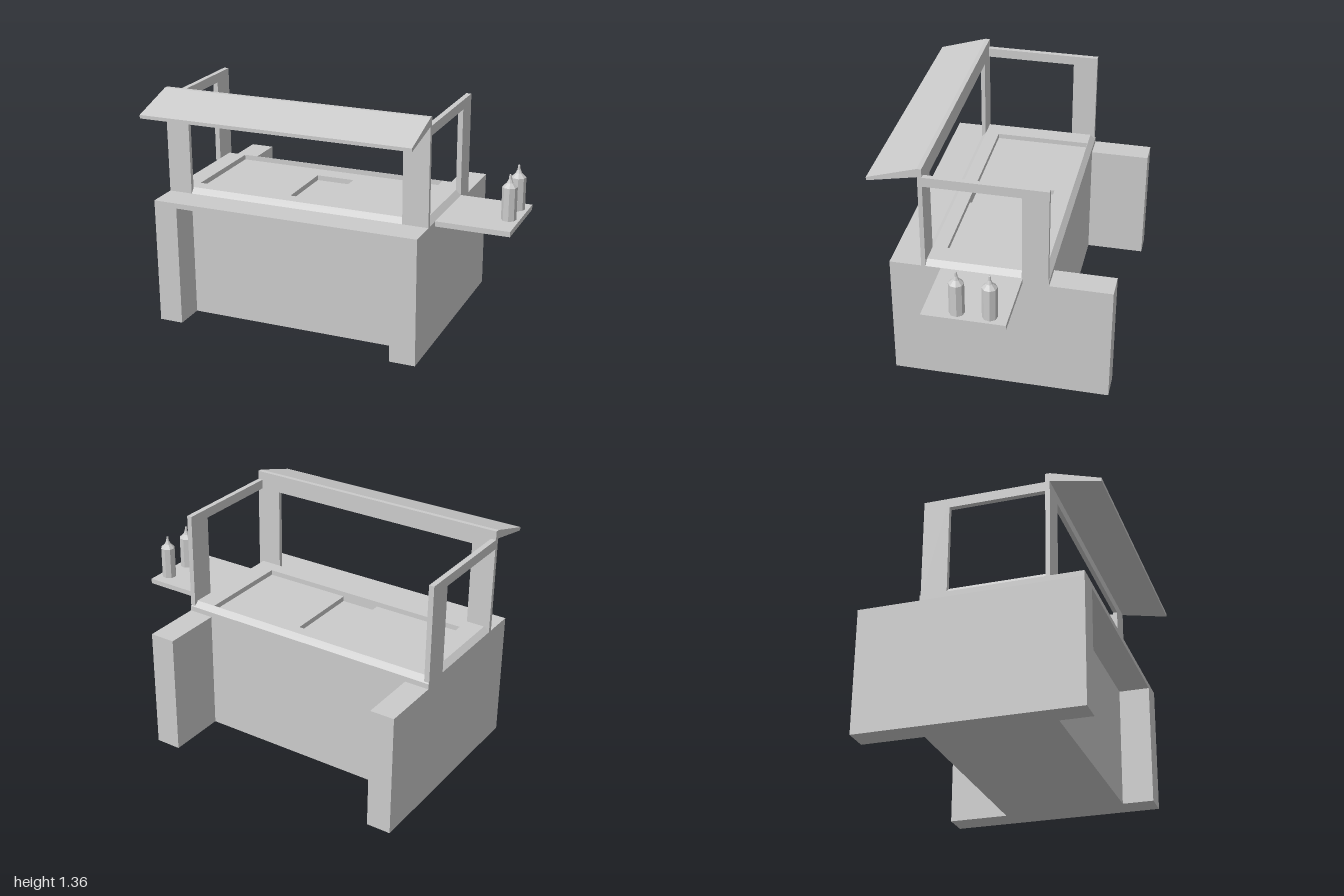
import * as THREE from 'three';

const material = new THREE.MeshStandardMaterial({ color: 0xcccccc, flatShading: true });

function addMesh(parent, name, geometry) {
  const mesh = new THREE.Mesh(geometry, material);
  mesh.name = name;
  parent.add(mesh);
  return mesh;
}

// Box given by its limits on each axis
function addBox(parent, name, [x0, x1], [y0, y1], [z0, z1]) {
  const mesh = addMesh(parent, name, new THREE.BoxGeometry(x1 - x0, y1 - y0, z1 - z0));
  mesh.position.set((x0 + x1) / 2, (y0 + y1) / 2, (z0 + z1) / 2);
  return mesh;
}

// Skin over a sequence of rectangular loops [x0, x1, z0, z1, y]
function rectLoft(loops) {
  const positions = [];
  const corners = ([x0, x1, z0, z1, y]) => [[x0, y, z0], [x1, y, z0], [x1, y, z1], [x0, y, z1]];
  for (let i = 0; i < loops.length - 1; i++) {
    const a = corners(loops[i]);
    const b = corners(loops[i + 1]);
    for (let k = 0; k < 4; k++) {
      const n = (k + 1) % 4;
      positions.push(...a[k], ...b[k], ...a[n], ...a[n], ...b[k], ...b[n]);
    }
  }
  const geometry = new THREE.BufferGeometry();
  geometry.setAttribute('position', new THREE.Float32BufferAttribute(positions, 3));
  geometry.computeVertexNormals();
  return geometry;
}

function rectPath(path, x0, x1, z0, z1) {
  path.moveTo(x0, z0).lineTo(x1, z0).lineTo(x1, z1).lineTo(x0, z1).closePath();
  return path;
}

export function createModel() {
  const group = new THREE.Group();
  group.name = 'foodStand';
  const L = -1, R = 0.58, innerL = -0.86, innerR = 0.43;

  // Base: core with side walls running past it front and back
  addBox(group, 'baseCore', [innerL, innerR], [0, 0.71], [-0.32, 0.39]);
  for (const [name, x] of [['rightWall', [L, innerL]], ['leftWall', [innerR, R]]]) {
    addBox(group, name, x, [0, 0.71], [-0.67, 0.57]);
  }

  // Counter slab with the narrow tray slot cut through it
  const slab = rectPath(new THREE.Shape(), L, R, -0.32, 0.57);
  slab.holes.push(rectPath(new THREE.Path(), -0.32, -0.09, -0.18, 0.28));
  const slabGeometry = new THREE.ExtrudeGeometry(slab, { depth: 0.03, bevelEnabled: false });
  slabGeometry.rotateX(Math.PI / 2);
  addMesh(group, 'counterSlab', slabGeometry).position.y = 0.74;

  // Raised worktop with chamfered edge and shallow well
  addMesh(group, 'worktopRim', rectLoft([
    [L, R, -0.32, 0.39, 0.74],
    [-0.97, 0.55, -0.29, 0.36, 0.77],
    [innerL, innerR, -0.288, 0.28, 0.77],
    [innerL, innerR, -0.288, 0.28, 0.74],
  ]));

  // Canopy frame: wide front posts, thin rear posts and side rails
  for (const [side, front, thin] of [
    ['right', [L, innerL], [L, -0.97]],
    ['left', [innerR, R], [0.55, R]],
  ]) {
    addBox(group, side + 'FrontPost', front, [0.74, 1.25], [0.365, 0.39]);
    addBox(group, side + 'RearPost', thin, [0.71, 1.305], [-0.315, -0.17]);
    addBox(group, side + 'Rail', thin, [1.25, 1.305], [-0.17, 0.365]);
  }
  addBox(group, 'header', [L, R], [1.25, 1.355], [0.365, 0.39]);

  // Sloping awning, profile drawn in z and y then swept along x
  const profile = new THREE.Shape([
    new THREE.Vector2(-0.39, 1.305),
    new THREE.Vector2(-0.39, 1.355),
    new THREE.Vector2(-0.67, 1.27),
    new THREE.Vector2(-0.67, 1.25),
  ]);
  const awning = new THREE.ExtrudeGeometry(profile, { depth: R - L, bevelEnabled: false });
  awning.rotateY(Math.PI / 2);
  addMesh(group, 'awning', awning).position.x = L;

  // Side shelf with two sauce bottles
  addBox(group, 'sideShelf', [R, 1], [0.71, 0.74], [-0.175, 0.28]);
  const bottleProfile = [
    [0, 0], [0.042, 0], [0.042, 0.188], [0.018, 0.212], [0.009, 0.232], [0.006, 0.257], [0, 0.26],
  ].map(([r, y]) => new THREE.Vector2(r, y));
  const bottleGeometry = new THREE.LatheGeometry(bottleProfile, 8);
  for (const z of [0.098, -0.078]) {
    const bottle = addMesh(group, 'sauceBottle', bottleGeometry);
    bottle.position.set(0.94, 0.74, z);
    bottle.rotation.y = 0.2;
  }

  return group;
}
